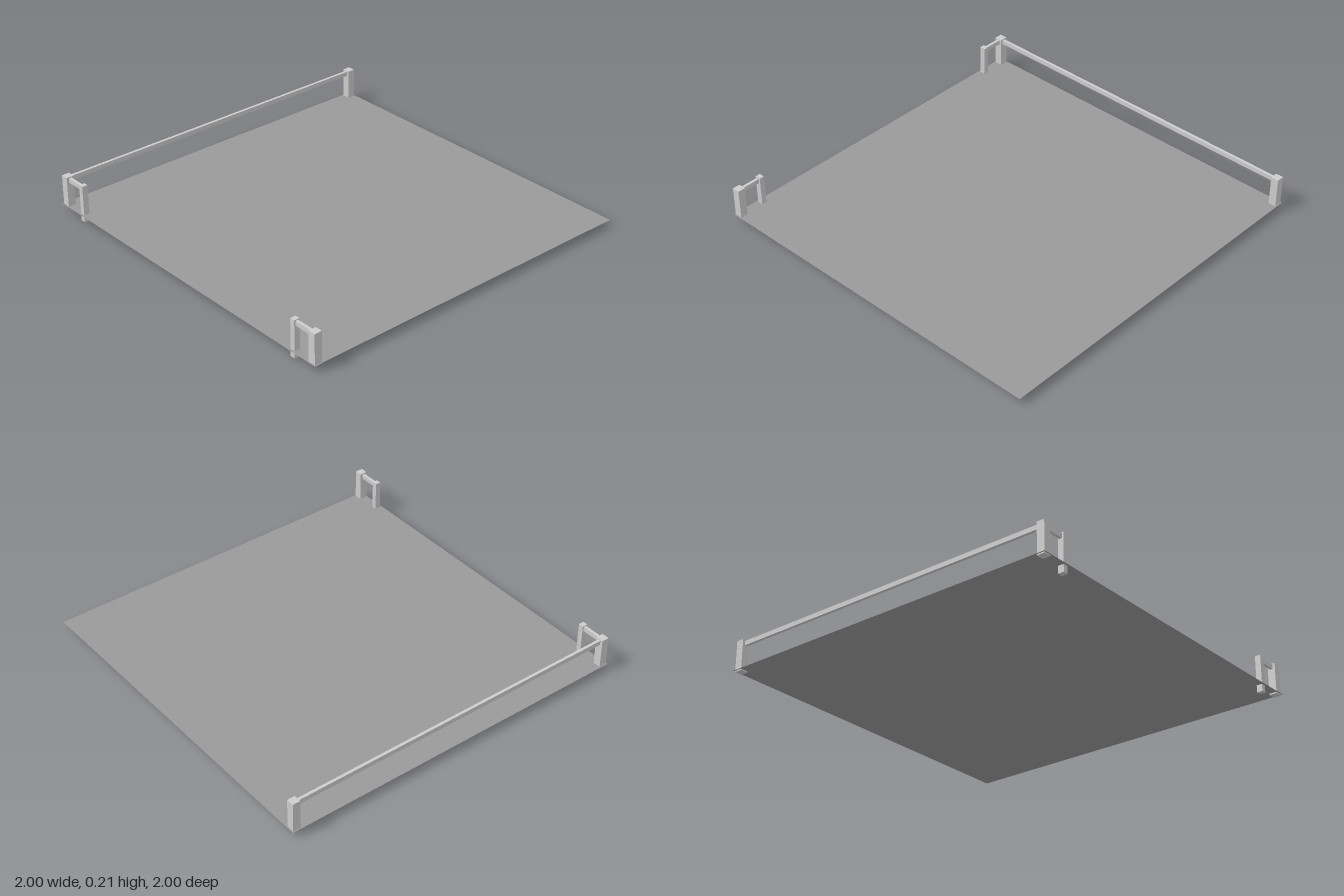
import * as THREE from 'three';

export function createModel() {
  const model = new THREE.Group();
  const floorGrey = new THREE.MeshStandardMaterial({ color: 0x999999, side: THREE.DoubleSide });
  floorGrey.name = 'floor grey';
  const railGrey = new THREE.MeshStandardMaterial({ color: 0xcccccc });
  railGrey.name = 'rail grey';

  // Box given by its centre in x and z and its bottom and top heights
  function box(name, x, z, width, depth, bottom, top) {
    const mesh = new THREE.Mesh(new THREE.BoxGeometry(width, top - bottom, depth), railGrey);
    mesh.name = name;
    mesh.position.set(x, (bottom + top) / 2, z);
    model.add(mesh);
  }

  // Thin floor sheet
  const floor = new THREE.Mesh(new THREE.PlaneGeometry(2, 2).rotateX(-Math.PI / 2), floorGrey);
  floor.name = 'floor';
  floor.position.y = 0.04;
  model.add(floor);

  const edge = 0.972, inner = 0.833;
  const railBottom = 0.175, railTop = 0.2, postTop = 0.206;

  // Short front railings, mirrored left and right
  for (const side of [-1, 1]) {
    box('frontCornerPost', side * edge, edge, 0.043, 0.043, 0.033, postTop);
    box('frontEndPost', side * inner, edge, 0.028, 0.032, 0, postTop);
    box('frontRail', side * (edge + inner) / 2, edge, edge - inner, 0.016, railBottom, railTop);
  }

  // Long railing down the right side with its rear post
  box('backCornerPost', -edge, -edge, 0.043, 0.043, 0.033, postTop);
  box('sideRail', -edge, 0, 0.016, 2 * edge, railBottom, railTop);

  return model;
}
